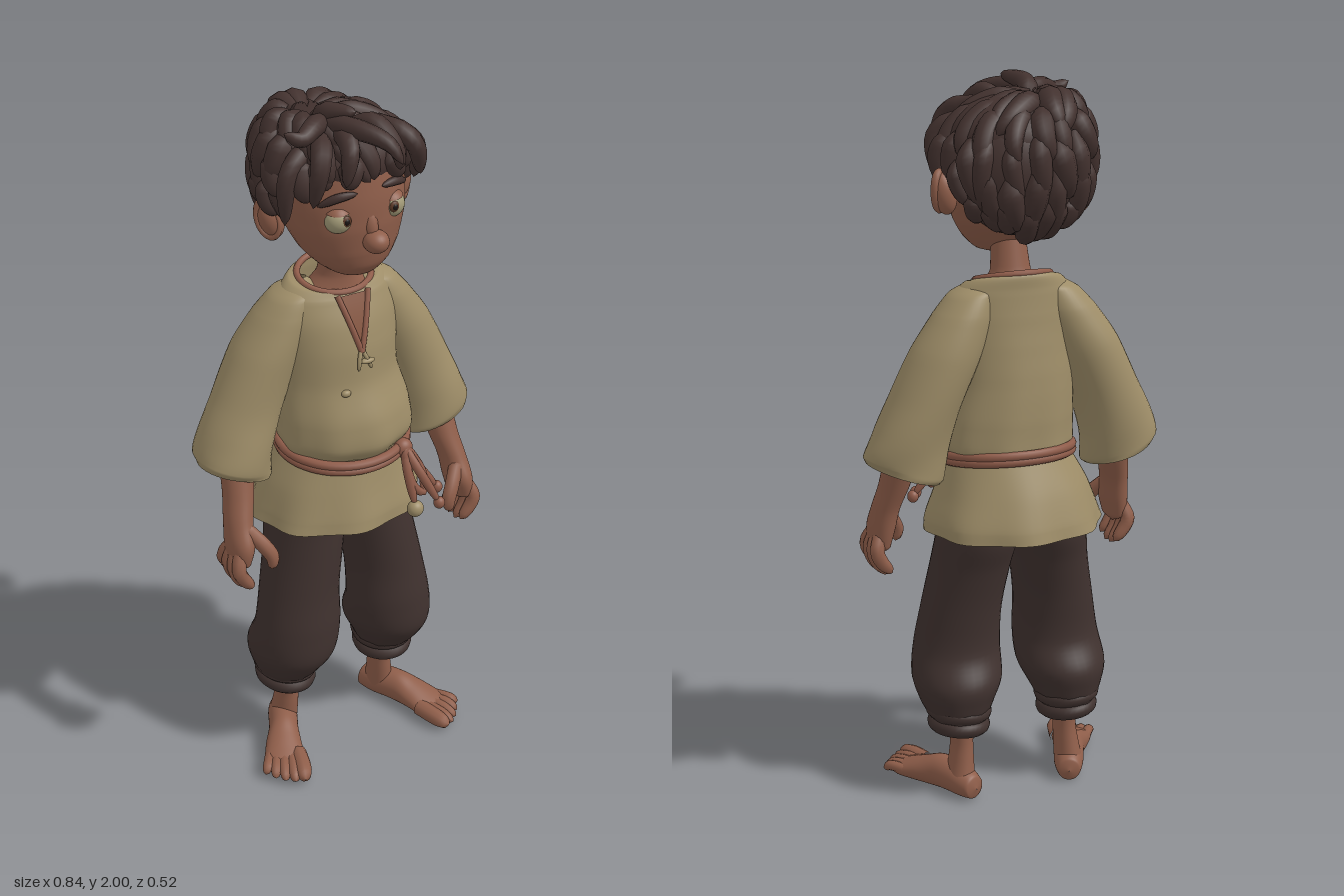
import * as THREE from 'three';
import { mergeVertices } from 'three/addons/utils/BufferGeometryUtils.js';

const paint = (name, color, side = THREE.FrontSide) => {
  const m = new THREE.MeshStandardMaterial({ color, side });
  m.name = name;
  return m;
};
const V = (p) => new THREE.Vector3(...p);

// Smooth skin through horizontal rings, listed upwards: [x, y, z, radiusX, radiusZ, tiltX, tiltZ]
function loft(rings, fold = () => 1, seg = 36, steps = 6) {
  const curve = (f) => new THREE.CatmullRomCurve3(rings.map((r) => V(f(r))));
  const centre = curve((r) => [r[0], r[1], r[2]]);
  const shape = curve((r) => [r[3], r[4], 0]);
  const tilt = curve((r) => [r[5] || 0, r[6] || 0, 0]);
  const rows = (rings.length - 1) * steps, pos = [], idx = [];
  for (let i = 0; i <= rows; i++) {
    const t = i / rows, c = centre.getPoint(t), s = shape.getPoint(t), k = tilt.getPoint(t);
    for (let j = 0; j < seg; j++) {
      const a = (j / seg) * Math.PI * 2, f = fold(a, t);
      const dx = Math.cos(a) * s.x * f, dz = Math.sin(a) * s.y * f;
      pos.push(c.x + dx, c.y + k.x * dx + k.y * dz, c.z + dz);
      if (i < rows) {
        const p = i * seg + j, q = i * seg + (j + 1) % seg;
        idx.push(p, p + seg, q, q, p + seg, q + seg);
      }
    }
  }
  const g = new THREE.BufferGeometry();
  g.setAttribute('position', new THREE.Float32BufferAttribute(pos, 3));
  g.setIndex(idx);
  g.computeVertexNormals();
  return g;
}

// Tube whose thickness follows a profile along its length
const FINGER = (t) => Math.sqrt(Math.max(0.0004, 1 - t ** 6));
const LOCK = (t) => Math.max(0.02, Math.min(1, 0.45 + t * 2) * Math.sqrt(1 - t ** 2.6));
const SPINDLE = (t) => Math.max(0.05, Math.sqrt(Math.sin(Math.PI * Math.min(t, 0.9999))));
function taper(points, radius, profile = () => 1, closed = false, seg = 14, sides = 9) {
  const curve = new THREE.CatmullRomCurve3(points.map(V), closed);
  const g = new THREE.TubeGeometry(curve, seg, radius, sides, closed);
  const p = g.attributes.position, v = new THREE.Vector3();
  for (let i = 0; i < p.count; i++) {
    const t = Math.floor(i / (sides + 1)) / seg, c = curve.getPointAt(t);
    v.fromBufferAttribute(p, i).sub(c).multiplyScalar(profile(t)).add(c);
    p.setXYZ(i, v.x, v.y, v.z);
  }
  g.deleteAttribute('normal');
  g.deleteAttribute('uv');
  const m = mergeVertices(g, 1e-5);
  m.computeVertexNormals();
  return m;
}

const ellipse = (cx, cy, cz, rx, rz, slope, n = 16) => Array.from({ length: n }, (_, i) => {
  const a = (i / n) * Math.PI * 2, z = Math.sin(a) * rz;
  return [cx + Math.cos(a) * rx, cy + slope * z, cz + z];
});

export function createModel() {
  const skin = paint('skin', 0x8f5e4a), hairMat = paint('hair', 0x43322f);
  const cloth = paint('tunic cloth', 0x9e8d68, THREE.DoubleSide);
  const trouser = paint('trouser cloth', 0x40322f, THREE.DoubleSide);
  const cord = paint('cord', 0x8e5b49), white = paint('eye white', 0xa39b78);
  const brown = paint('iris', 0x5a3826), black = paint('pupil', 0x1a1412);
  const chestSkin = paint('open neck skin', 0x85553f, THREE.DoubleSide);

  const model = new THREE.Group();
  const add = (name, geo, mat, parent = model) => {
    const m = new THREE.Mesh(geo, mat);
    m.name = name;
    parent.add(m);
    return m;
  };
  const ball = (name, mat, at, size, parent = model) => {
    const m = add(name, new THREE.SphereGeometry(1, 28, 18), mat, parent);
    m.position.set(...at);
    m.scale.set(...size);
    return m;
  };

  // Head, tilted slightly to its right
  const head = new THREE.Group();
  head.name = 'head';
  head.position.y = 1.6;
  head.rotation.z = 0.07;
  model.add(head);
  const face = new THREE.Group();
  face.name = 'face';
  face.position.y = -1.6;
  head.add(face);
  add('skull', loft([[0, 1.522, 0.055, 0.001, 0.001], [0, 1.533, 0.05, 0.058, 0.058], [0, 1.565, 0.04, 0.1, 0.095],
    [0, 1.61, 0.022, 0.135, 0.125], [0, 1.68, 0.005, 0.163, 0.15], [0, 1.76, -0.01, 0.172, 0.163],
    [0, 1.84, -0.02, 0.165, 0.162], [0, 1.91, -0.03, 0.125, 0.125], [0, 1.95, -0.03, 0.001, 0.001]]), skin, face);
  ball('nose', skin, [0.003, 1.645, 0.163], [0.034, 0.03, 0.036], face);
  add('noseBridge', taper([[0, 1.74, 0.13], [0, 1.7, 0.14], [0, 1.65, 0.16]], 0.02, SPINDLE), skin, face);
  for (const s of [1, -1]) {
    ball('eyeball', white, [s * 0.077, 1.713, 0.117], [0.037, 0.036, 0.036], face);
    ball('iris', brown, [s * 0.07, 1.716, 0.148], [0.014, 0.015, 0.007], face);
    ball('pupil', black, [s * 0.07, 1.716, 0.152], [0.008, 0.009, 0.005], face);
    const lid = add('eyelid', new THREE.SphereGeometry(0.04, 24, 10, 0, Math.PI * 2, 0, Math.PI * 0.3), skin, face);
    lid.position.set(s * 0.077, 1.713, 0.116);
    lid.rotation.x = 0.1;
    add('eyebrow', taper([[s * 0.035, 1.784, 0.152], [s * 0.085, 1.78, 0.138], [s * 0.128, 1.758, 0.108]], 0.012, SPINDLE), hairMat, face);
    ball('ear', skin, [s * 0.19, 1.69, -0.03], [0.033, 0.057, 0.032], face).rotation.z = -s * 0.25;
    const rim = add('earRim', new THREE.TorusGeometry(0.036, 0.011, 8, 24), skin, face);
    rim.position.set(s * 0.202, 1.695, -0.024);
    rim.scale.set(0.75, 1.3, 1);
    rim.rotation.set(0, s * 0.7, -s * 0.2);
  }

  // Hair: two caps covered by overlapping locks spreading from a whorl
  ball('hairCap', hairMat, [-0.012, 1.835, -0.028], [0.176, 0.118, 0.178]);
  ball('hairBack', hairMat, [-0.005, 1.765, -0.078], [0.17, 0.175, 0.142]);
  let seed = 11;
  const rnd = () => (seed = (seed * 16807) % 2147483647) / 2147483647;
  const scalp = (th, ph, k) => {
    const c = Math.cos(th), s = Math.sin(th);
    return [-0.018 - 0.075 * Math.max(0, c) ** 3 + 0.19 * k * s * Math.sin(ph),
      1.79 + (c > 0 ? 0.163 : 0.22) * k * c, -0.03 + 0.19 * k * s * Math.cos(ph)];
  };
  for (const [n, from, to] of [[13, 0.08, 1.05], [15, 0.5, 1.5], [17, 1.0, 2.0], [19, 1.5, 2.4], [22, 1.9, 2.8]]) {
    for (let i = 0; i < n; i++) {
      const ph = ((i + 0.6 * rnd()) / n) * Math.PI * 2, back = ((1 - Math.cos(ph)) / 2) ** 1.5;
      const start = from + 0.2 * rnd();
      const end = Math.min(to + 0.25 * rnd(), 1.32 + 1.3 * back + 0.25 * rnd());
      const curl = (rnd() - 0.35) * 0.5, lift = 0.02 + 0.09 * rnd(), r = 0.028 + 0.01 * rnd();
      if (end - start < 0.35) continue;
      const pts = [0, 0.33, 0.67, 1].map((u) => scalp(start + (end - start) * u, ph + curl * u * u, 0.95 + lift * Math.sin(u * 2.2)));
      add('hairLock', taper(pts, r, LOCK), hairMat);
    }
  }
  for (const pts of [
    [[-0.1, 1.94, 0.04], [-0.05, 1.95, 0.15], [0, 1.925, 0.225], [0.02, 1.88, 0.252]],
    [[-0.08, 1.95, 0.04], [-0.15, 1.95, 0.1], [-0.19, 1.94, 0.12], [-0.23, 1.96, 0.11]],
    [[-0.06, 1.93, 0], [-0.08, 1.965, 0.05], [-0.04, 1.985, 0.13]],
    [[-0.02, 1.93, 0.06], [0.02, 1.94, 0.12], [0.05, 1.88, 0.18], [0.06, 1.83, 0.175]],
    [[-0.06, 1.94, 0.06], [-0.08, 1.91, 0.17], [-0.1, 1.82, 0.185]],
    [[-0.1, 1.93, 0.06], [-0.15, 1.88, 0.15], [-0.165, 1.76, 0.135]],
    [[-0.1, 1.9, 0.04], [-0.2, 1.84, 0.08], [-0.21, 1.7, 0.07]],
    [[-0.14, 1.86, 0], [-0.2, 1.79, 0.02], [-0.185, 1.69, 0.02]],
    [[0.06, 1.93, 0.06], [0.12, 1.88, 0.14], [0.155, 1.78, 0.12]],
    [[0.1, 1.9, 0.04], [0.17, 1.84, 0.07], [0.18, 1.74, 0.05]],
    [[0.15, 1.86, 0], [0.187, 1.8, 0.01], [0.178, 1.72, 0.01]],
  ]) add('looseLock', taper(pts, 0.028, LOCK), hairMat);

  // Neck and tunic
  add('neck', loft([[0, 1.36, -0.03, 0.1, 0.07], [0, 1.44, -0.045, 0.09, 0.065], [0, 1.49, -0.035, 0.055, 0.05],
    [0, 1.6, -0.015, 0.045, 0.045]]), skin);
  const gather = (a, t) => 1 + 0.022 * (1 - t) ** 3 * Math.sin(9 * a + 1) + 0.012 * (1 - t) * Math.sin(5 * a);
  add('tunicBody', loft([[0.01, 0.98, -0.03, 0.172, 0.15], [0.015, 1.03, -0.022, 0.193, 0.167], [0.01, 1.1, -0.025, 0.188, 0.162],
    [0, 1.2, -0.038, 0.172, 0.14], [0, 1.3, -0.037, 0.17, 0.128], [0, 1.38, -0.042, 0.172, 0.112],
    [0, 1.44, -0.05, 0.162, 0.096, 0, -0.05], [0, 1.472, -0.053, 0.13, 0.089, 0, -0.2],
    [0, 1.475, -0.05, 0.105, 0.084, 0, -0.28]], gather, 64), cloth);
  add('tunicSkirt', loft([[-0.005, 0.785, -0.045, 0.248, 0.212], [0, 0.82, -0.044, 0.242, 0.206], [0, 0.9, -0.04, 0.213, 0.182],
    [0.01, 0.99, -0.03, 0.175, 0.152]], (a, t) => 1 + 0.03 * (1 - t) * Math.sin(8 * a + 0.6), 64), cloth);
  add('collar', taper(ellipse(0, 1.474, -0.05, 0.103, 0.082, -0.28), 0.009, () => 1, true, 48), cord);

  // Open neckline with its edging, lace and toggles
  const front = (y) => 0.049 + 0.44 * (1.45 - y) - 0.8 * (1.45 - y) ** 2;
  const slit = new THREE.PlaneGeometry(1, 1, 4, 8), sp = slit.attributes.position;
  for (let i = 0; i < sp.count; i++) {
    const v = sp.getY(i) + 0.5, y = 1.31 + 0.14 * v;
    sp.setXYZ(i, sp.getX(i) * 0.085 * v, y, front(y));
  }
  slit.computeVertexNormals();
  add('openNeck', slit, chestSkin);
  for (const s of [1, -1]) {
    add('neckEdge', taper([1.455, 1.4, 1.35, 1.3].map((y) => [s * (y - 1.3) * 0.3, y, front(y)]), 0.008), cord);
    add('laceEnd', taper([[0, 1.31, 0.093], [s * 0.012, 1.28, 0.105], [s * 0.02 + 0.005, 1.25, 0.107]], 0.006, FINGER), cloth);
  }
  ball('toggle', cloth, [0.012, 1.275, 0.105], [0.022, 0.008, 0.01]);
  ball('toggle', cloth, [-0.05, 1.19, 0.1], [0.014, 0.01, 0.01]);

  // Rope belt, knot and hanging ends
  for (const d of [-0.008, 0.008]) add('belt', taper(ellipse(0.01, 0.99 + d, -0.028, 0.183, 0.163, -0.12), 0.013, () => 1, true, 64), cord);
  ball('beltKnot', cord, [0.125, 0.975, 0.108], [0.028, 0.028, 0.024]);
  for (const [x, y, z] of [[0.13, 0.82, 0.17], [0.195, 0.82, 0.19], [0.225, 0.83, 0.13]]) {
    add('beltEnd', taper([[0.125, 0.98, 0.115], [0.06 + x * 0.45, 0.92, 0.04 + z * 0.62], [x, y, z]], 0.013, FINGER), cord);
    if (x < 0.15) ball('beltTassel', cloth, [x, y - 0.01, z], [0.024, 0.024, 0.022]);
    else ball('beltTip', cord, [x, y, z], [0.016, 0.018, 0.016]);
  }
  add('beltLoop', taper([[0.125, 0.98, 0.12], [0.13, 0.88, 0.155], [0.16, 0.85, 0.16], [0.17, 0.9, 0.14]], 0.012, () => 1, true, 32), cord);

  for (const s of [1, -1]) {
    const side = (rings) => rings.map(([x, y, z, rx, rz, t = 0]) => [s * x, y, z, rx, rz, s * t]);
    const path = (pts) => pts.map(([x, y, z]) => [s * x, y, z]);

    // Wide sleeve, forearm and hand
    add('sleeve', loft(side([[0.315, 0.965, -0.055, 0.1, 0.098, 0.33], [0.315, 0.985, -0.055, 0.107, 0.104, 0.33], [0.3, 1.05, -0.06, 0.1, 0.104, 0.3],
      [0.262, 1.15, -0.068, 0.093, 0.1, 0.25], [0.203, 1.28, -0.07, 0.09, 0.1, 0.2], [0.148, 1.385, -0.065, 0.08, 0.088, 0.05],
      [0.118, 1.445, -0.06, 0.064, 0.068, -0.1], [0.09, 1.478, -0.06, 0.01, 0.01]]),
    (a, t) => 1 + 0.03 * Math.sin(3 * a + t * 14) * (1 - t)), cloth);
    add('forearm', loft(side([[0.352, 0.712, 0.045, 0.001, 0.001], [0.355, 0.735, 0.045, 0.028, 0.05], [0.35, 0.79, 0.042, 0.037, 0.06],
      [0.342, 0.85, 0.022, 0.038, 0.051], [0.326, 0.92, -0.005, 0.042, 0.049], [0.31, 1.05, -0.05, 0.05, 0.05]])), skin);
    for (let i = 0; i < 4; i++) {
      const z = -0.003 + i * 0.031, d = 0.012 * Math.abs(i - 1.6);
      add('finger', taper(path([[0.358, 0.78, 0.02 + i * 0.016], [0.377, 0.73, z], [0.367, 0.685 + d, z], [0.335, 0.645 + d, z]]), 0.02, FINGER), skin);
    }
    add('thumb', taper(path([[0.335, 0.83, 0.06], [0.3, 0.785, 0.093], [0.283, 0.75, 0.105], [0.287, 0.715, 0.107]]), 0.021, FINGER), skin);

    // Baggy trouser leg gathered into a rolled cuff
    add('trouserLeg', loft(side([[0.165, 0.24, -0.055, 0.08, 0.09], [0.165, 0.28, -0.042, 0.1, 0.115], [0.158, 0.35, -0.025, 0.125, 0.139],
      [0.15, 0.43, -0.004, 0.122, 0.122], [0.138, 0.55, -0.012, 0.112, 0.12], [0.116, 0.68, -0.028, 0.108, 0.129],
      [0.1, 0.78, -0.045, 0.108, 0.14], [0.09, 0.92, -0.04, 0.09, 0.13]]),
    (a, t) => 1 + 0.02 * Math.max(0, 1 - t * 4) * Math.sin(9 * a)), trouser);
    for (const [y, r] of [[0.256, 0.067], [0.215, 0.062]]) {
      const roll = add('trouserCuff', new THREE.TorusGeometry(r, 0.025, 12, 36), trouser);
      roll.position.set(s * 0.165, y, -0.056);
      roll.rotation.set(Math.PI / 2 + 0.06, s * 0.08, 0);
      roll.scale.y = 1.1;
    }

    // Ankle and bare foot turned outwards
    add('ankle', loft(side([[0.167, 0.045, -0.073, 0.04, 0.05], [0.161, 0.11, -0.064, 0.034, 0.045], [0.158, 0.16, -0.06, 0.031, 0.042],
      [0.16, 0.26, -0.055, 0.045, 0.05]])), skin);
    const foot = new THREE.Group();
    foot.name = 'foot';
    foot.position.set(s * 0.168, 0, -0.073);
    foot.rotation.y = s * 0.4;
    model.add(foot);
    const sole = loft(side([[0, -0.066, -0.035, 0.001, 0.001], [0, -0.056, -0.037, 0.032, 0.033], [0, 0, -0.046, 0.043, 0.047],
      [0.004, 0.07, -0.048, 0.043, 0.049], [0.01, 0.13, -0.038, 0.052, 0.039], [0.012, 0.19, -0.026, 0.058, 0.027],
      [0.012, 0.225, -0.02, 0.047, 0.018], [0.012, 0.234, -0.018, 0.001, 0.001]])).rotateX(Math.PI / 2);
    const fp = sole.attributes.position;
    for (let i = 0; i < fp.count; i++) fp.setY(i, Math.max(0, fp.getY(i)));
    add('footBody', sole, skin, foot);
    for (let i = 0; i < 5; i++) {
      const x = -0.034 + i * 0.025, r = i ? 0.0195 - i * 0.001 : 0.025, end = 0.285 - i * i * 0.003;
      add('toe', taper(path([[x * 0.8, 0.032, 0.17], [x, 0.03, 0.225], [x * 1.1, r, end]]), r, FINGER), skin, foot);
    }
  }
  return model;
}
